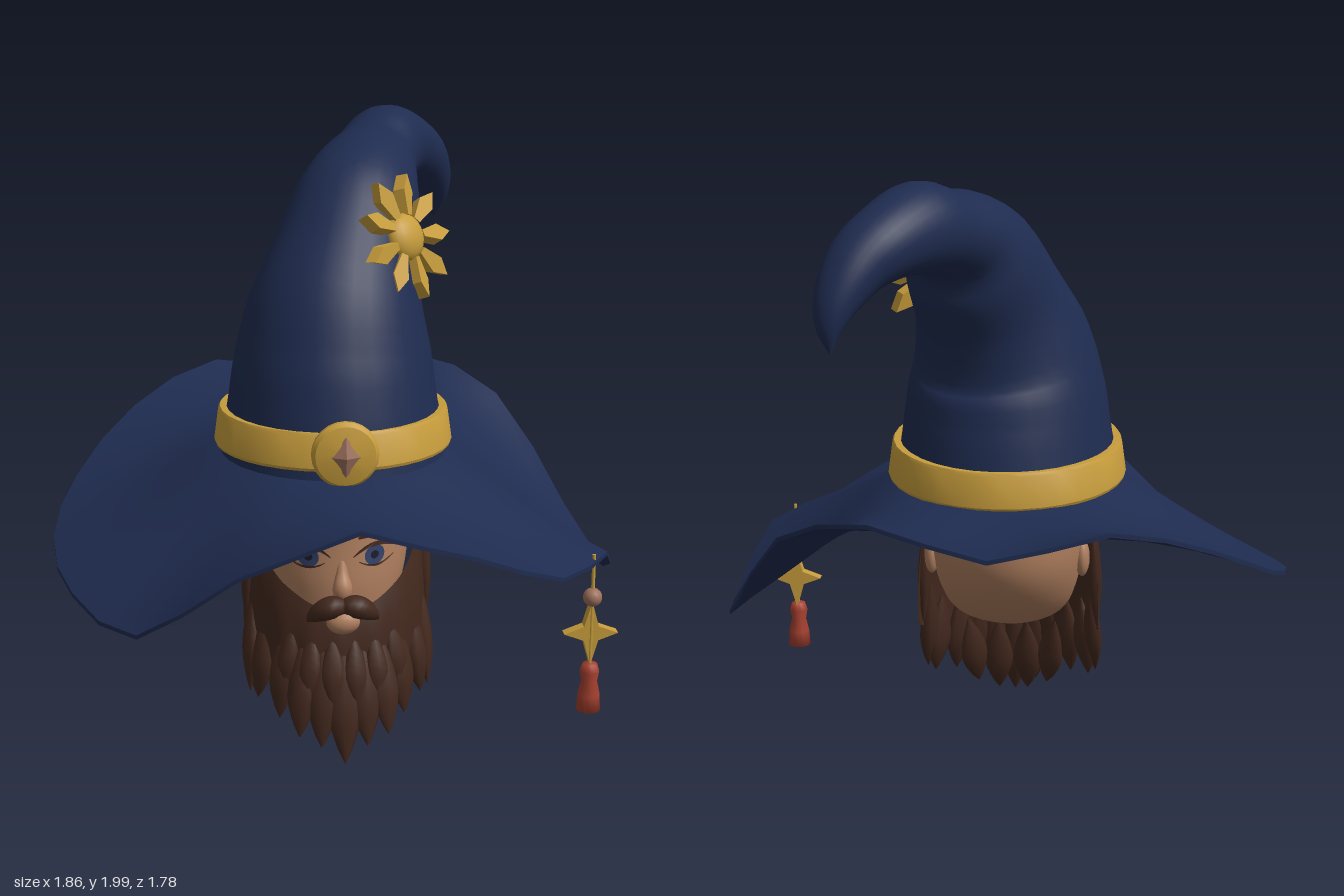
import * as THREE from 'three';
import { toCreasedNormals } from 'three/addons/utils/BufferGeometryUtils.js';

const V = (x, y, z) => new THREE.Vector3(x, y, z);
const rad = THREE.MathUtils.degToRad;

// Surface through rows of points; each row is a loop when closed.
function gridGeo(rows, closed = true) {
  const n = rows[0].length, idx = [];
  for (let i = 0; i < rows.length - 1; i++)
    for (let j = 0; j < (closed ? n : n - 1); j++) {
      const a = i * n + j, b = i * n + (j + 1) % n;
      idx.push(a, b, a + n, b, b + n, a + n);
    }
  const g = new THREE.BufferGeometry().setFromPoints(rows.flat());
  g.setIndex(idx);
  g.computeVertexNormals();
  return g;
}

// Elliptical sections [x, y, z, ru, rv] swept along a smooth path.
function loft(sections, { sides = 24, steps = 24, u0 = V(1, 0, 0), u1 = u0, level = false } = {}) {
  const path = new THREE.CatmullRomCurve3(sections.map(s => V(s[0], s[1], s[2])), false, 'catmullrom');
  const radii = new THREE.CatmullRomCurve3(sections.map(s => V(s[3], s[4] ?? s[3], 0)), false, 'catmullrom');
  const rows = [];
  for (let i = 0; i <= steps; i++) {
    const t = i / steps, c = path.getPoint(t), r = radii.getPoint(t);
    const T = level ? V(0, Math.sign(sections.at(-1)[1] - sections[0][1]), 0) : path.getTangent(t);
    const U = u0.clone().lerp(u1, t);
    U.addScaledVector(T, -U.dot(T)).normalize();
    const W = T.clone().cross(U);
    rows.push(Array.from({ length: sides }, (_, j) => {
      const a = j / sides * Math.PI * 2;
      return c.clone().addScaledVector(U, Math.max(r.x, 0.001) * Math.cos(a))
        .addScaledVector(W, Math.max(r.y, 0.001) * Math.sin(a));
    }));
  }
  return gridGeo(rows);
}

// Piecewise linear lookup in [[x, y], ...]
function lookup(table, x) {
  let i = 1;
  while (i < table.length - 1 && x > table[i][0]) i++;
  const [a, b] = [table[i - 1], table[i]];
  return THREE.MathUtils.mapLinear(x, a[0], b[0], a[1], b[1]);
}

export function createModel() {
  const model = new THREE.Group();
  const mat = (name, color, side = THREE.FrontSide) => {
    const m = new THREE.MeshStandardMaterial({ color, side });
    m.name = name;
    return m;
  };
  const navy = mat('navy cloth', 0x1f2c50, THREE.DoubleSide);
  const gold = mat('gold', 0xc69c3c), skin = mat('skin', 0xae7e5e);
  const hair = mat('brown hair', 0x42281d, THREE.DoubleSide);
  const rose = mat('rose stone', 0x9c705c), red = mat('red thread', 0xa5402f);
  const blue = mat('blue iris', 0x34446e), dark = mat('dark pupil', 0x1e1c28);
  const add = (name, geo, material, parent = model) => {
    const m = new THREE.Mesh(geo, material);
    m.name = name;
    parent.add(m);
    return m;
  };

  // Hat cone, bending back and to one side
  add('hatCone', loft([
    [0, 0.95, 0, 0.375, 0.405], [0, 1.1, -0.003, 0.347, 0.382], [0.003, 1.25, -0.012, 0.325, 0.347],
    [0.015, 1.4, -0.035, 0.292, 0.298], [0.055, 1.57, -0.11, 0.24, 0.245], [0.1, 1.71, -0.21, 0.212, 0.215],
    [0.135, 1.79, -0.3, 0.18, 0.16], [0.175, 1.83, -0.41, 0.15, 0.13], [0.23, 1.86, -0.52, 0.14, 0.138],
    [0.305, 1.84, -0.64, 0.12, 0.115], [0.375, 1.79, -0.72, 0.1, 0.095], [0.425, 1.71, -0.785, 0.075, 0.07],
    [0.448, 1.63, -0.825, 0.045, 0.04], [0.445, 1.55, -0.84, 0.003, 0.003],
  ], { sides: 32, steps: 52, u1: V(0.9, 0, 0.45) }), navy);

  // Wavy brim: rim heights every 22.5 degrees, from the front towards +x
  const rimY = [0.97, 0.85, 0.7, 0.67, 0.5, 0.6, 0.93, 1.04, 0.96, 1.03, 0.92, 0.76, 0.655, 0.59, 0.56, 0.81];
  const rim = new THREE.CatmullRomCurve3(rimY.map((y, i) => V(i, y, 0)).concat(V(16, rimY[0], 0)), false, 'catmullrom');
  const brimRow = (t, drop) => Array.from({ length: 32 }, (_, j) => {
    const a = j / 32 * Math.PI * 2, edge = rim.getPoint(j / 32).y;
    const y = 0.97 + (edge - 0.97) * t ** 1.3 - 0.035 * Math.sin(Math.PI * t) - drop;
    return V(Math.sin(a) * (0.34 + 0.59 * t), y, Math.cos(a) * (0.36 + 0.53 * t));
  });
  const ts = Array.from({ length: 11 }, (_, i) => i / 10);
  const brimRows = [...ts.map(t => brimRow(t, 0.014)), ...ts.slice().reverse().map(t => brimRow(t, 0))];
  add('hatBrim', toCreasedNormals(gridGeo(brimRows), 0.9), navy);

  // Hat band and buckle
  const bandProfile = [[0.35, -0.06], [0.388, -0.06], [0.392, -0.05], [0.378, 0.05], [0.372, 0.06], [0.35, 0.06], [0.35, -0.06]];
  const band = add('hatBand', toCreasedNormals(new THREE.LatheGeometry(bandProfile.map(p => new THREE.Vector2(...p)), 36), 0.5), gold);
  band.scale.z = 1.06;
  band.position.set(0, 1.033, -0.005);
  band.rotation.x = -0.04;
  const buckle = new THREE.Group();
  buckle.name = 'buckle';
  buckle.position.set(0, 1.05, 0.395);
  model.add(buckle);
  const discProfile = [[0, 0], [0.1, 0], [0.106, 0.015], [0.106, 0.03], [0.095, 0.045], [0.04, 0.058], [0, 0.06]];
  add('buckleDisc', toCreasedNormals(new THREE.LatheGeometry(discProfile.map(p => new THREE.Vector2(...p)), 24), 0.5), gold, buckle)
    .rotation.x = Math.PI / 2;
  const gem = add('buckleGem', new THREE.OctahedronGeometry(1), rose, buckle);
  gem.scale.set(0.05, 0.066, 0.022);
  gem.position.z = 0.055;

  // Sun ornament, leaning back with the slope of the cone
  const sun = new THREE.Group();
  sun.name = 'sunOrnament';
  sun.position.set(0.228, 1.65, 0.03);
  sun.rotation.order = 'YXZ';
  sun.rotation.set(-0.33, Math.PI / 4, 0);
  model.add(sun);
  add('sunDisc', new THREE.SphereGeometry(0.078, 20, 12), gold, sun).scale.z = 0.6;
  const kite = new THREE.Shape([[0.07, -0.012], [0.15, -0.029], [0.205, 0], [0.15, 0.029], [0.07, 0.012]].map(p => new THREE.Vector2(...p)));
  const rayGeo = new THREE.ExtrudeGeometry(kite, { depth: 0.04, bevelEnabled: false }).translate(0, 0, -0.015);
  for (let i = 0; i < 9; i++) {
    const ray = add('sunRay', rayGeo, gold, sun);
    ray.rotation.order = 'ZXY';
    ray.rotation.set(i % 2 ? 0.25 : -0.25, 0, rad(34 + 40 * i));
  }

  // Hanging charm under the brim
  const charm = new THREE.Group();
  charm.name = 'charm';
  charm.position.set(0.793, 0, 0.44);
  model.add(charm);
  add('charmCord', new THREE.CylinderGeometry(0.006, 0.006, 0.38, 8), gold, charm).position.y = 0.51;
  add('charmBead', new THREE.SphereGeometry(0.031, 14, 10), rose, charm).position.y = 0.555;
  const starPts = Array.from({ length: 8 }, (_, i) => {
    const a = i * Math.PI / 4, r = i % 2 ? 0.034 : (i % 4 ? 0.11 : 0.088);
    return new THREE.Vector2(r * Math.cos(a), r * Math.sin(a));
  });
  add('charmStar', new THREE.ExtrudeGeometry(new THREE.Shape(starPts), { depth: 0.036, bevelEnabled: false }), gold, charm)
    .position.set(0, 0.43, -0.032);
  const tasselProfile = [[0, 0.165], [0.04, 0.165], [0.036, 0.22], [0.026, 0.265], [0.032, 0.3], [0.024, 0.325], [0, 0.33]];
  add('tassel', new THREE.LatheGeometry(tasselProfile.map(p => new THREE.Vector2(...p)), 12), red, charm);

  // Head, ears, nose and lip
  add('head', loft([
    [0, 1.19, 0, 0.001, 0.001], [0, 1.16, 0, 0.12, 0.14], [0, 1.08, 0, 0.21, 0.24], [0, 0.97, 0.005, 0.248, 0.29],
    [0, 0.85, 0.01, 0.25, 0.3], [0, 0.7, 0.02, 0.25, 0.3], [0, 0.58, 0.06, 0.235, 0.27],
    [0, 0.48, 0.115, 0.2, 0.21], [0, 0.41, 0.19, 0.14, 0.135], [0, 0.37, 0.23, 0.06, 0.06], [0, 0.365, 0.23, 0.001, 0.001],
  ], { sides: 32, steps: 50, level: true }), skin);
  add('nose', loft([[0, 0.69, 0.3, 0.01], [0, 0.62, 0.322, 0.02], [0, 0.575, 0.34, 0.032], [0, 0.545, 0.335, 0.024], [0, 0.535, 0.33, 0.001]],
    { sides: 14, steps: 16 }), skin);
  const lip = add('lip', new THREE.SphereGeometry(1, 16, 10), skin);
  lip.scale.set(0.055, 0.04, 0.035);
  lip.position.set(0, 0.468, 0.365);

  // Painted face details laid on the curve of the face
  const faceZ = x => 0.02 + 0.3 * Math.sqrt(1 - (x / 0.25) ** 2);
  const plate = (name, geo, material, x, y, lift) => {
    geo.translate(x, y, 0);
    const p = geo.attributes.position;
    for (let i = 0; i < p.count; i++) p.setZ(i, faceZ(p.getX(i)) + lift);
    geo.computeVertexNormals();
    add(name, geo, material);
  };
  const arch = (half, rise, thick) => {
    const top = [], low = [];
    for (let i = 0; i <= 8; i++) {
      const s = i / 4 - 1, y = rise * (1 - s * s), h = thick * (1 - 0.7 * s * s);
      low.push(new THREE.Vector2(half * s, y - h));
      top.unshift(new THREE.Vector2(half * s, y + h));
    }
    return new THREE.ShapeGeometry(new THREE.Shape([...low, ...top]));
  };
  for (const s of [-1, 1]) {
    plate('iris', new THREE.CircleGeometry(0.034, 20), blue, s * 0.108, 0.67, 0.007);
    plate('pupil', new THREE.CircleGeometry(0.014, 14), dark, s * 0.108, 0.672, 0.01);
    plate('upperEyelid', arch(0.078, 0.034, 0.008), hair, s * 0.115, 0.675, 0.011);
    plate('lowerEyelid', arch(0.06, -0.02, 0.004), hair, s * 0.115, 0.655, 0.009);
    plate('eyebrow', arch(0.062, 0.012, 0.014), hair, s * 0.115, 0.737, 0.012);
    const ear = add('ear', new THREE.SphereGeometry(1, 14, 10), skin);
    ear.scale.set(0.025, 0.065, 0.04);
    ear.position.set(s * 0.252, 0.68, -0.02);
    // Moustache half
    add('moustache', loft([[-s * 0.01, 0.52, 0.37, 0.018], [s * 0.03, 0.53, 0.385, 0.036], [s * 0.07, 0.512, 0.375, 0.034],
      [s * 0.1, 0.488, 0.36, 0.02], [s * 0.115, 0.468, 0.35, 0.002]], { sides: 10, steps: 16, u0: V(0, 0, 1) }), hair);
  }

  // Beard shell wrapping the jaw and rising into sideburns
  const topEdge = [[0, 0.48], [25, 0.53], [44, 0.58], [60, 0.64], [75, 0.72], [85, 0.81], [95, 0.76]];
  const lowEdge = [[0, 0.24], [40, 0.27], [60, 0.32], [75, 0.36], [95, 0.42]];
  const beardRows = Array.from({ length: 9 }, (_, i) => Array.from({ length: 65 }, (_, j) => {
    const deg = -95 + 190 * j / 64, d = Math.abs(deg), t = i / 8, a = rad(deg);
    const y = THREE.MathUtils.lerp(lookup(lowEdge, d), lookup(topEdge, d), t);
    const f = 1 - 0.1 * t ** 3 + 0.015 * Math.cos(a * 18) * (1 - t);
    return V(0.308 * f * Math.sin(a), y, 0.055 + 0.335 * f * Math.cos(a));
  }));
  add('beard', gridGeo(beardRows, false), hair);

  // Beard locks: [degrees, top y, tip y, tip x, tip z, width, inset], mirrored
  const locks = [
    [0, 0.4, 0.01, 0, 0.45, 0.052, 0], [13, 0.4, 0.06, 0.075, 0.43, 0.05, 0], [26, 0.41, 0.09, 0.145, 0.41, 0.05, 0],
    [40, 0.43, 0.13, 0.205, 0.34, 0.05, 0], [58, 0.45, 0.16, 0.27, 0.24, 0.055, 0], [74, 0.52, 0.18, 0.295, 0.23, 0.05, 0],
    [7, 0.42, 0.2, 0.04, 0.425, 0.04, 0], [20, 0.43, 0.21, 0.12, 0.4, 0.04, 0], [34, 0.45, 0.23, 0.19, 0.345, 0.04, 0],
    [10, 0.34, 0.06, 0.05, 0.34, 0.05, 0.1], [32, 0.36, 0.1, 0.12, 0.3, 0.05, 0.1], [80, 0.81, 0.38, 0.3, 0.13, 0.04, 0],
  ];
  for (const [deg, y0, y1, x1, z1, w, inset] of locks)
    for (const s of deg ? [-1, 1] : [1]) {
      const a = rad(deg * s), x0 = 0.285 * Math.sin(a), z0 = 0.05 + 0.32 * Math.cos(a) - inset;
      const at = (k, r) => [x0 + (s * x1 - x0) * k, y0 + (y1 - y0) * k, z0 + (z1 - z0) * k, r, r * 0.6];
      add('beardLock', loft([at(0, 0.004), at(0.3, w * 0.75), at(0.6, w), at(0.85, w * 0.55), at(1, 0.002)],
        { sides: 8, steps: 10, u0: V(Math.cos(a), 0, -Math.sin(a)) }), hair);
    }
  return model;
}
